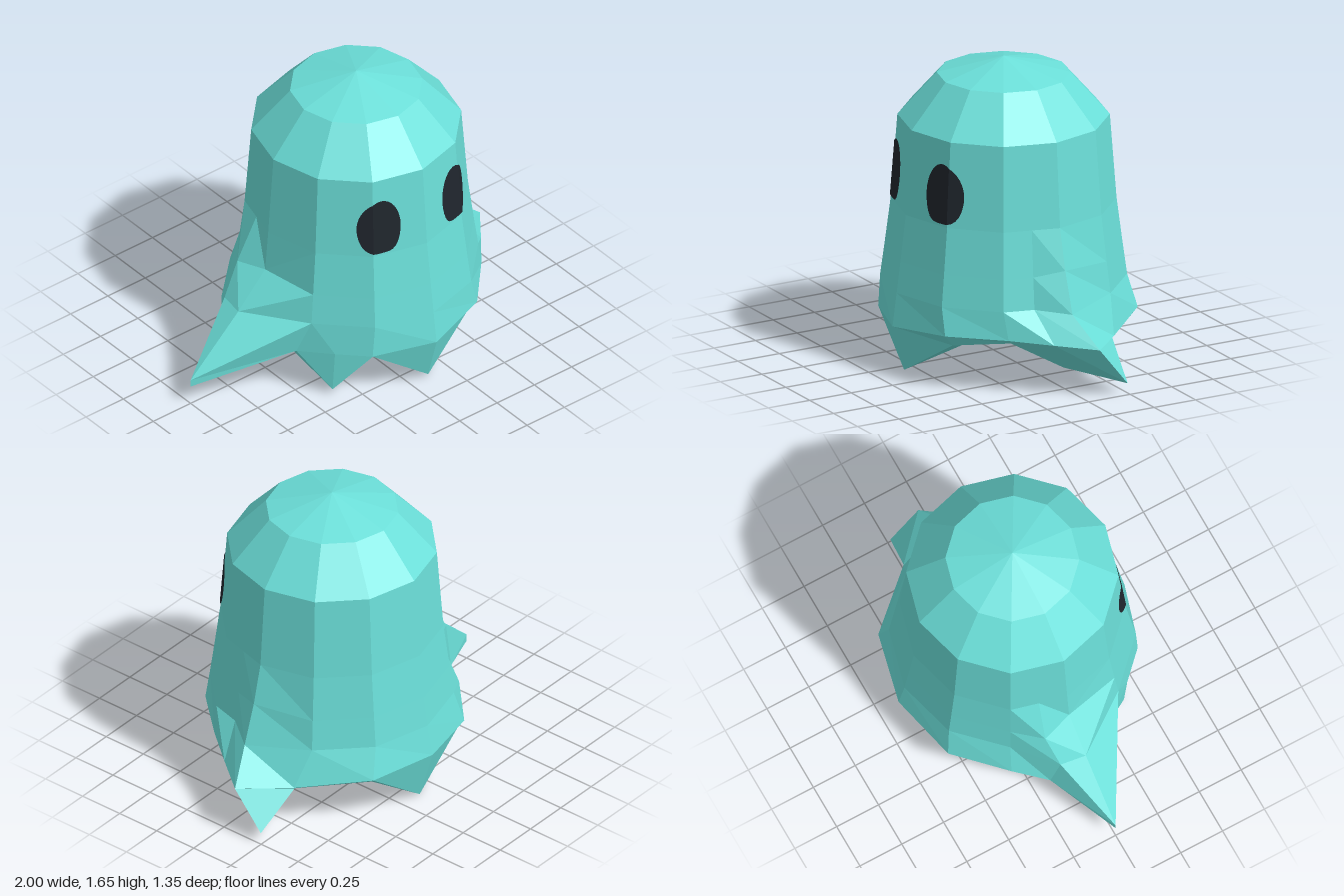
import * as THREE from 'three';

const CX = 0.11; // the body axis sits beside the origin because the arms differ in length
// Column angles: front = 0, turning towards +x; 75, 255 and 315 carry extra hem points
const ANGLES = [0, 30, 60, 75, 90, 120, 150, 180, 210, 240, 255, 270, 300, 315, 330];

// One ring of the 12-sided body, with optional replacement points by angle
function ring(r, y, special = {}) {
  return ANGLES.map((deg) => {
    if (special[deg]) return special[deg];
    const a = THREE.MathUtils.degToRad(deg);
    const k = deg % 30 ? r * Math.cos(Math.PI / 12) : r;
    return [CX + k * Math.sin(a), y, k * Math.cos(a)];
  });
}

function buildBody() {
  // Upper edge of the hem, including both arm tops
  const hem = [
    [0.11, 0.27, 0.67], [0.47, 0.3, 0.56], [0.7, 0.3, 0.31], [0.85, 0.285, 0.12], [0.995, 0.27, -0.07],
    [0.77, 0.25, -0.285], [0.49, 0.28, -0.59], [0.11, 0.28, -0.68], [-0.26, 0.26, -0.59],
    [-0.51, 0.27, -0.35], [-0.64, 0.23, -0.19], [-1, 0.15, 0],
    [-0.5, 0.26, 0.26], [-0.37, 0.27, 0.42], [-0.23, 0.27, 0.56],
  ];
  // Ragged lower edge: points and notches
  const lip = [
    [0.11, 0.02, 0.6], [0.46, 0.24, 0.51], [0.69, 0.28, 0.29], [0.7, 0.1, -0.02], [0.99, 0.06, -0.24],
    [0.76, 0.24, -0.28], [0.49, 0.27, -0.58], [0.12, 0, -0.6], [-0.25, 0.24, -0.57],
    [-0.5, 0.25, -0.34], [-0.63, 0.21, -0.18], [-1, 0.11, 0],
    [-0.5, 0.245, 0.24], [-0.37, 0.03, 0.4], [-0.21, 0.25, 0.54],
  ];
  // Underside folds, hollowed beneath the arms
  const hollow = { 75: [0.5, 0.21, 0], 90: [0.5, 0.22, -0.08], 270: [-0.45, 0.25, 0] };
  const inner = lip.map(([x, , z], i) => hollow[ANGLES[i]] || [CX + (x - CX) * 0.55, 0.19, z * 0.55]);

  const rows = [
    ring(0, 1.65),
    ring(0.35, 1.56),
    ring(0.555, 1.33),
    ring(0.59, 0.87),
    ring(0.622, 0.62, { 90: [0.755, 0.65, 0], 255: [-0.55, 0.62, -0.17], 270: [-0.5, 0.64, 0] }),
    ring(0.645, 0.45, { 90: [0.83, 0.43, 0], 255: [-0.66, 0.45, -0.14], 270: [-0.68, 0.45, 0] }),
    hem, lip, inner,
    ring(0, 0.17),
  ];

  const pos = [];
  const n = ANGLES.length;
  for (let j = 0; j < rows.length - 1; j++) {
    for (let i = 0; i < n; i++) {
      const k = (i + 1) % n;
      const a = rows[j][i], b = rows[j][k], c = rows[j + 1][i], d = rows[j + 1][k];
      if (j === 0) pos.push(...a, ...c, ...d);
      else if (j === rows.length - 2) pos.push(...a, ...c, ...b);
      // the front of the long arm folds from its shoulder down to the hem
      else if (ANGLES[i] === 270 && j < 6) pos.push(...a, ...c, ...b, ...b, ...c, ...d);
      else pos.push(...a, ...c, ...d, ...a, ...d, ...b);
    }
  }
  return toGeometry(pos);
}

function toGeometry(pos) {
  const g = new THREE.BufferGeometry();
  g.setAttribute('position', new THREE.Float32BufferAttribute(pos, 3));
  g.computeVertexNormals();
  return g;
}

// Eye patch folded over the body's edge, just above its surface
function buildEye(side) {
  const centre = 0.424, half = 0.184;
  const us = [0.5];
  for (let i = 0; i <= 16; i++) us.push(centre - half * Math.cos((Math.PI * i) / 16));
  us.sort((a, b) => a - b);
  const point = (u, y) => {
    const r = (0.59 - (0.035 * (y - 0.87)) / 0.46) * 1.009;
    const z = u < 0.5 ? 1 - u * 0.268 : 1.366 - u;
    return [CX + side * u * r, y, z * r];
  };
  const columns = us.map((u) => {
    const t = Math.min(1, Math.abs(u - centre) / half);
    const up = 0.17 * Math.sqrt(1 - t * t);
    const down = 0.15 * Math.pow(1 - t ** 4, 0.6);
    return [point(u, 1.035 + up), point(u, 1.035 - down)];
  });
  const pos = [];
  for (let i = 0; i < columns.length - 1; i++) {
    const [l, r] = side > 0 ? [columns[i], columns[i + 1]] : [columns[i + 1], columns[i]];
    pos.push(...l[0], ...l[1], ...r[1], ...l[0], ...r[1], ...r[0]);
  }
  return toGeometry(pos);
}

export function createModel() {
  const teal = new THREE.MeshStandardMaterial({ color: 0x6bdfd9, flatShading: true });
  teal.name = 'teal cloth';
  const dark = new THREE.MeshStandardMaterial({ color: 0x20262d, flatShading: true, side: THREE.DoubleSide });
  dark.name = 'dark eye';

  const model = new THREE.Group();
  model.name = 'ghost';
  const add = (name, geometry, material) => {
    const mesh = new THREE.Mesh(geometry, material);
    mesh.name = name;
    model.add(mesh);
  };
  add('body', buildBody(), teal);
  add('leftEye', buildEye(1), dark);
  add('rightEye', buildEye(-1), dark);
  return model;
}
